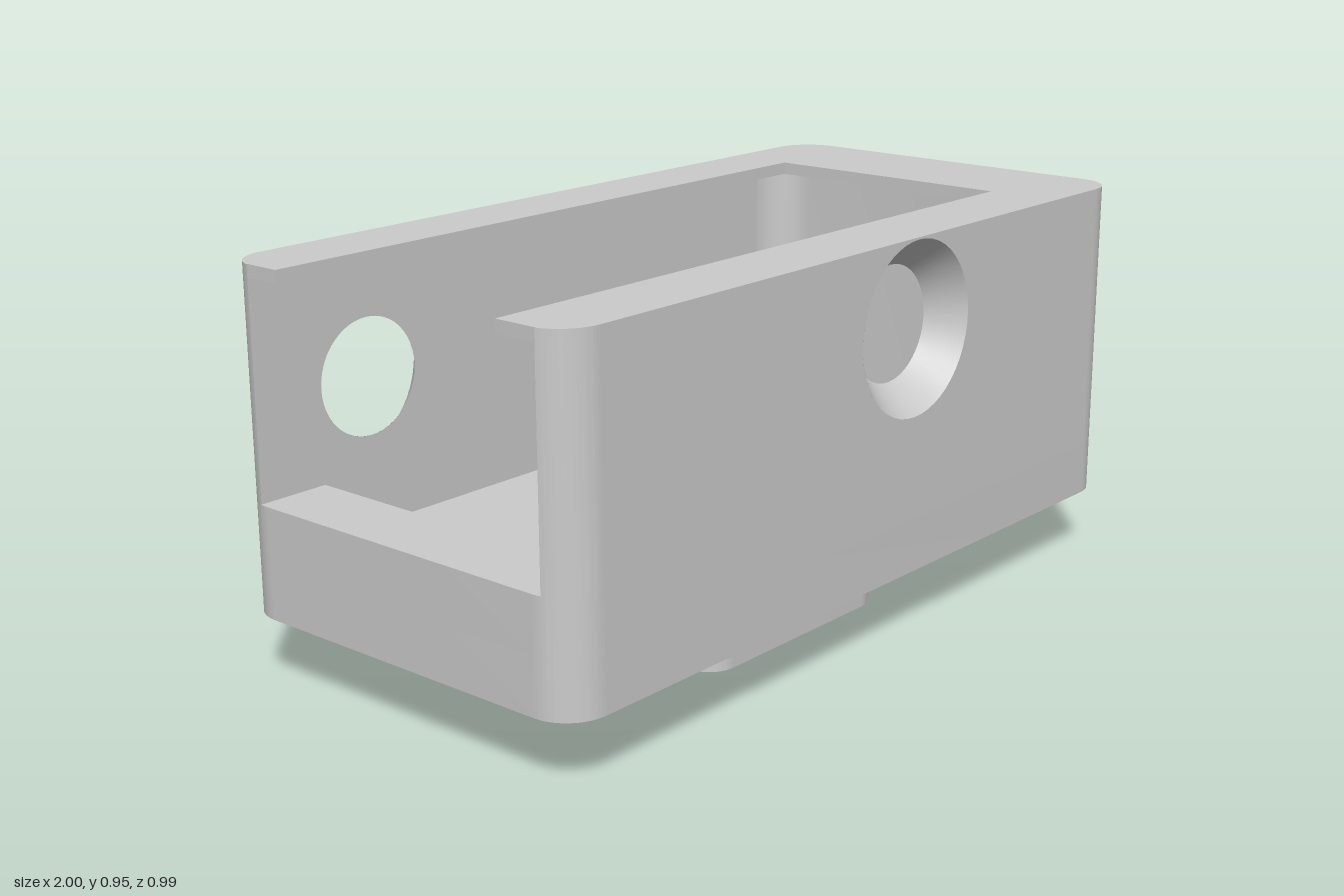
import * as THREE from 'three';
import { toCreasedNormals } from 'three/addons/utils/BufferGeometryUtils.js';

const material = new THREE.MeshStandardMaterial({ color: 0xcccccc, side: THREE.DoubleSide });
const W = 0.497, R = 0.1, IN = 0.42; // half depth, corner radius, inner wall face
const FLOOR = 0.29, SILL = 0.42, LIP = 0.92, TOP = 0.95;

function add(parent, name, geometry) {
  const mesh = new THREE.Mesh(geometry, material);
  mesh.name = name;
  parent.add(mesh);
  return mesh;
}

// Horizontal slab from a plan drawn in (x, z)
function slab(parent, name, shape, y0, y1) {
  const g = new THREE.ExtrudeGeometry(shape, { depth: y1 - y0, bevelEnabled: false, curveSegments: 16 });
  g.rotateX(Math.PI / 2).translate(0, y1, 0);
  return add(parent, name, toCreasedNormals(g, 0.6));
}

function polygon(points) {
  return new THREE.Shape(points.map(([x, z]) => new THREE.Vector2(x, z)));
}

function roundedRect(x0, x1, z0, z1, r) {
  const s = new THREE.Shape();
  s.absarc(x1 - r, z0 + r, r, -Math.PI / 2, 0);
  s.absarc(x1 - r, z1 - r, r, 0, Math.PI / 2);
  s.absarc(x0 + r, z1 - r, r, Math.PI / 2, Math.PI);
  s.absarc(x0 + r, z0 + r, r, Math.PI, Math.PI * 1.5);
  s.closePath();
  return s;
}

// Plan of the rounded +x end, closed by the given inner points
function endPlan(inner) {
  const s = new THREE.Shape();
  s.moveTo(1 - R, -IN);
  s.lineTo(1 - R, -W);
  s.absarc(1 - R, -W + R, R, -Math.PI / 2, 0);
  s.absarc(1 - R, W - R, R, 0, Math.PI / 2);
  s.lineTo(1 - R, IN);
  inner.forEach(([x, z]) => s.lineTo(x, z));
  s.closePath();
  return s;
}

// Long wall facing +z with a countersunk hole
function sideWall(name, hx, hy) {
  const wall = new THREE.Group();
  wall.name = name;
  const rOut = 0.205, rIn = 0.137, e = 1 - R;
  const face = (r) => {
    const s = polygon([[-e, FLOOR], [e, FLOOR], [e, TOP], [-e, TOP]]);
    s.holes.push(new THREE.Path().absarc(hx, hy, r, 0, Math.PI * 2, true));
    return new THREE.ShapeGeometry(s, 48);
  };
  add(wall, 'wallOuterFace', face(rOut).translate(0, 0, W));
  add(wall, 'wallInnerFace', face(rIn).rotateY(Math.PI).scale(-1, 1, 1).translate(0, 0, IN));
  const cone = new THREE.CylinderGeometry(rOut, rIn, W - IN, 48, 1, true);
  add(wall, 'countersink', cone.rotateX(Math.PI / 2).translate(hx, hy, (W + IN) / 2));
  const rim = new THREE.PlaneGeometry(2 * e, W - IN).rotateX(-Math.PI / 2);
  add(wall, 'wallTop', rim.translate(0, TOP, (W + IN) / 2));
  return wall;
}

export function createModel() {
  const model = new THREE.Group();
  model.name = 'slidingLidCase';

  // Case bottom
  slab(model, 'caseFloor', roundedRect(-1, 1, -W, W, R), 0.16, FLOOR);

  // Long walls, each with its own hole position
  const back = sideWall('backWall', 0.68, 0.64);
  back.rotation.y = Math.PI;
  model.add(sideWall('frontWall', 0.135, 0.74), back);

  // Closed end with rounded inner corners
  const corner = [];
  for (let i = 0; i <= 8; i++) {
    const a = (i / 8) * Math.PI / 2;
    corner.push([0.7 + 0.1 * Math.sin(a), IN - 0.1 + 0.1 * Math.cos(a)]);
  }
  const inner = [...corner, ...corner.map(([x, z]) => [x, -z]).reverse()];
  slab(model, 'closedEnd', endPlan(inner), FLOOR, LIP);

  // Low sill across the open end
  const sill = slab(model, 'openEndSill', endPlan([[0.82, IN], [0.82, -IN]]), FLOOR, SILL);
  sill.rotation.y = Math.PI;

  // Rounded wall ends beside the opening
  for (const side of [1, -1]) {
    const s = new THREE.Shape();
    const cut = Math.asin((IN - W + R) / R);
    s.moveTo(-1 + R, side * IN);
    s.lineTo(-1 + R, side * W);
    s.absarc(-1 + R, side * (W - R), R, side * Math.PI / 2, side * (Math.PI - cut), side < 0);
    s.closePath();
    slab(model, side > 0 ? 'frontWallEnd' : 'backWallEnd', s, SILL, TOP);
  }

  // Overhanging lip that holds the lid
  const lip = endPlan([[-0.995, IN], [-0.995, 0.315], [0.705, 0.315],
    [0.705, -0.33], [-0.995, -0.33], [-0.995, -IN]]);
  slab(model, 'lidLip', lip, LIP, TOP);

  // Grooved mounting foot
  slab(model, 'footUpperPlate', roundedRect(-0.34, 0.29, -0.375, 0.333, 0.07), 0.12, 0.16);
  slab(model, 'footNeck', polygon([[-0.3, -0.24], [0.29, -0.24], [0.29, 0.195], [-0.3, 0.195]]), 0.065, 0.12);
  slab(model, 'footLowerPlate', roundedRect(-0.34, 0.29, -0.338, 0.3, 0.07), 0, 0.065);

  return model;
}
